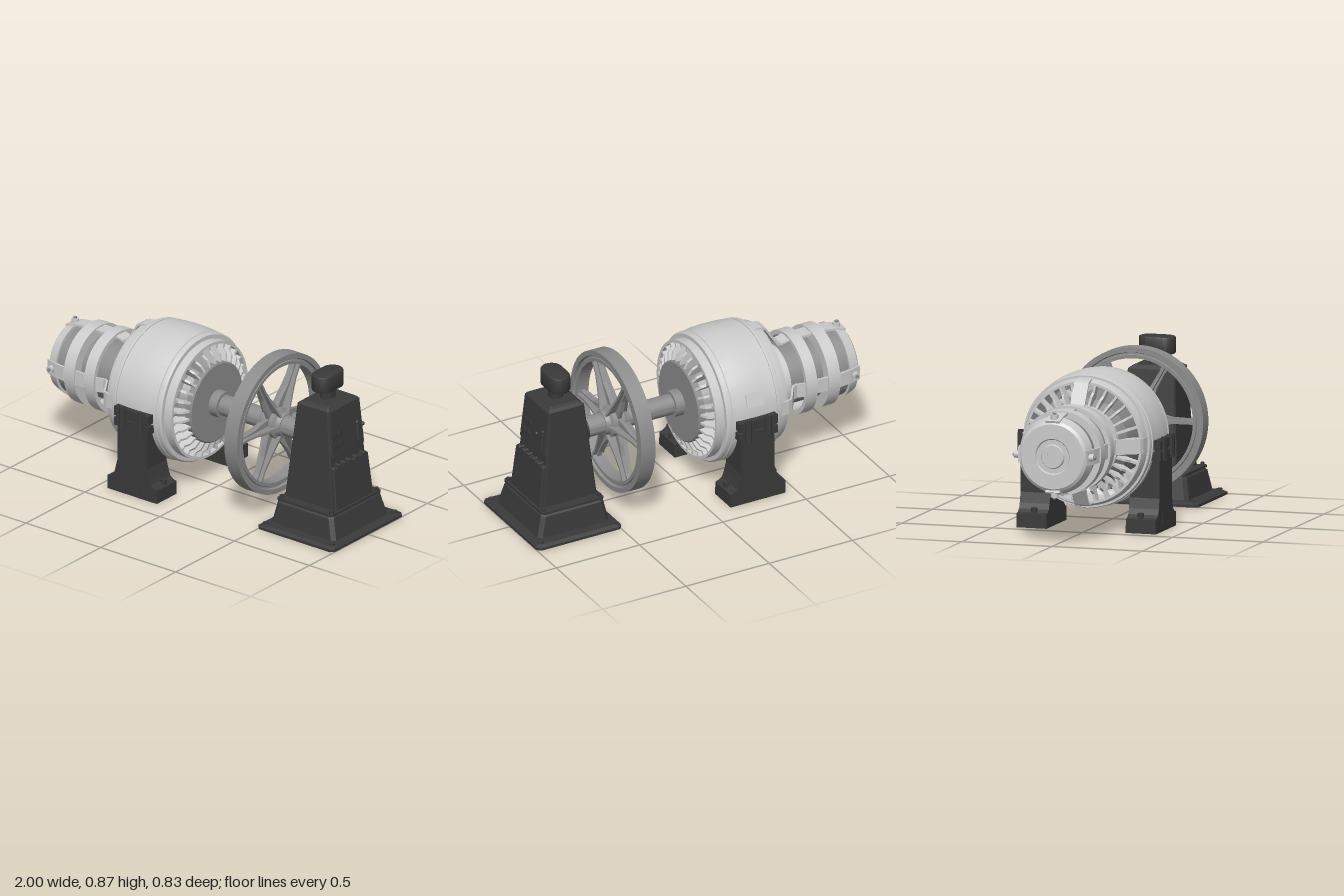
import * as THREE from 'three';
import { toCreasedNormals } from 'three/addons/utils/BufferGeometryUtils.js';

const mat = (color) => new THREE.MeshStandardMaterial({ color, side: THREE.DoubleSide });
const light = mat(0xcccccc), mid = mat(0x8c8c8c), dark = mat(0x3a3a3a);
const AXIS = 0.475; // height of the shaft line

function add(parent, name, geometry, material, x = 0, y = 0, z = 0) {
  const mesh = new THREE.Mesh(geometry, material);
  mesh.name = name;
  mesh.position.set(x, y, z);
  parent.add(mesh);
  return mesh;
}

// Solid of revolution about the x axis from [x, radius] points
function turned(points, segments = 72) {
  const g = new THREE.LatheGeometry(points.map(([x, r]) => new THREE.Vector2(r, x)), segments);
  return toCreasedNormals(g.rotateZ(-Math.PI / 2), 0.4);
}
const drum = (x0, x1, r) => turned([[x0, 0], [x0, r], [x1, r], [x1, 0]]);
const ring = (x0, x1, r, inner) => turned([[x0, inner], [x0, r], [x1, r], [x1, inner], [x0, inner]]);
const box = (w, h, d) => new THREE.BoxGeometry(w, h, d);
const rod = (r, h, n = 16) => new THREE.CylinderGeometry(r, r, h, n);

// Flat outline given thickness, centred on z = 0
function plate(points, depth) {
  const shape = new THREE.Shape(points.map(([x, y]) => new THREE.Vector2(x, y)));
  return new THREE.ExtrudeGeometry(shape, { depth, bevelEnabled: false }).translate(0, 0, -depth / 2);
}

// Copies of one geometry spaced around the x axis
function around(parent, name, count, geometry, material) {
  const group = new THREE.Group();
  group.name = name;
  for (let i = 0; i < count; i++) add(group, name, geometry, material).rotation.x = (i / count) * Math.PI * 2;
  parent.add(group);
}

// Casting skinned over chamfered rectangles [y, x0, x1, half depth, chamfer]
function casting(sections) {
  const rings = sections.map(([y, x0, x1, h, c]) => [
    [x1, -h + c], [x1, h - c], [x1 - c, h], [x0 + c, h],
    [x0, h - c], [x0, -h + c], [x0 + c, -h], [x1 - c, -h]].map(([x, z]) => [x, y, z]));
  const pos = [];
  for (let i = 0; i < rings.length - 1; i++) {
    for (let j = 0; j < 8; j++) {
      const k = (j + 1) % 8;
      const a = rings[i][j], b = rings[i + 1][j], c = rings[i + 1][k], d = rings[i][k];
      pos.push(...a, ...b, ...c, ...a, ...c, ...d);
    }
  }
  const g = new THREE.BufferGeometry();
  g.setAttribute('position', new THREE.Float32BufferAttribute(pos, 3));
  g.computeVertexNormals();
  return g;
}

function createMotor() {
  const motor = new THREE.Group();
  motor.name = 'motor';
  motor.position.y = AXIS;

  // Hollow barrel with stepped rims
  add(motor, 'barrel', turned([
    [-0.49, 0.312], [-0.49, 0.325], [-0.45, 0.338], [-0.438, 0.338], [-0.438, 0.35], [-0.425, 0.354],
    [-0.41, 0.354], [-0.41, 0.349], [-0.402, 0.349], [-0.4, 0.356], [-0.34, 0.361], [-0.27, 0.363],
    [-0.2, 0.36], [-0.145, 0.353], [-0.143, 0.348], [-0.135, 0.348], [-0.135, 0.354], [-0.118, 0.352],
    [-0.11, 0.345], [-0.11, 0.323], [-0.06, 0.323], [-0.06, 0.308], [-0.11, 0.308], [-0.13, 0.33],
    [-0.41, 0.33], [-0.49, 0.312]], 96), light);
  add(motor, 'armature', turned([[-0.5, 0], [-0.5, 0.2], [-0.45, 0.235], [-0.09, 0.235],
    [-0.04, 0.21], [-0.04, 0]]), mid);
  add(motor, 'endDisc', turned([[-0.05, 0], [-0.05, 0.222], [-0.018, 0.222], [-0.012, 0.215], [-0.012, 0]]), mid);
  around(motor, 'rightFin', 30, plate([[-0.11, 0.315], [-0.06, 0.315], [-0.06, 0.285],
    [-0.035, 0.265], [-0.016, 0.21], [-0.1, 0.21]], 0.013), light);
  around(motor, 'leftFin', 30, plate([[-0.44, 0.322], [-0.488, 0.317], [-0.492, 0.275],
    [-0.515, 0.255], [-0.53, 0.19], [-0.45, 0.19]], 0.013), light);
  add(motor, 'leftFinRing', ring(-0.535, -0.505, 0.205, 0.1), light);

  // Commutator with bands and end cap
  add(motor, 'commutator', drum(-0.95, -0.5, 0.165), mid);
  add(motor, 'commutatorCollar', drum(-0.595, -0.53, 0.172), light);
  add(motor, 'commutatorShoulder', drum(-0.935, -0.86, 0.19), mid);
  add(motor, 'innerBand', ring(-0.72, -0.655, 0.23, 0.205), light);
  add(motor, 'outerBand', ring(-0.86, -0.79, 0.225, 0.16), light);
  add(motor, 'endCap', turned([[-0.992, 0], [-0.992, 0.03], [-0.998, 0.03], [-0.998, 0.06], [-0.988, 0.065],
    [-0.988, 0.09], [-0.996, 0.095], [-0.996, 0.172], [-0.985, 0.188], [-0.93, 0.205], [-0.93, 0]]), light);

  // Brush straps running from the cap up to the barrel rim
  const path = [[-0.995, 0.19], [-0.93, 0.208], [-0.87, 0.216], [-0.655, 0.216], [-0.61, 0.205],
    [-0.585, 0.215], [-0.515, 0.325], [-0.49, 0.335], [-0.43, 0.34]];
  const underside = path.map(([x, r]) => [x + 0.005, r - 0.012]).reverse();
  around(motor, 'strap', 4, plate([...path, ...underside], 0.08), light);
  around(motor, 'strapBolt', 4, rod(0.02, 0.03).translate(-0.96, 0.205, 0), light);
  around(motor, 'strapBoltHead', 4, rod(0.01, 0.03, 6).translate(-0.96, 0.214, 0), mid);

  // Rating plate on the back of the barrel
  const label = new THREE.Group();
  label.name = 'ratingPlate';
  label.rotation.x = 0.31;
  add(label, 'plate', box(0.1, 0.07, 0.012), light, -0.277, 0, -0.36);
  motor.add(label);
  return motor;
}

function createLeg() {
  const leg = new THREE.Group();
  leg.name = 'motorLeg';
  // Saddle post whose inner edge follows the barrel
  const outline = [[0.22, 0.03], [0.385, 0.03], [0.385, 0.47]];
  for (let i = 0; i <= 12; i++) {
    const a = -0.014 - (i / 12) * 0.89;
    outline.push([0.356 * Math.cos(a), AXIS + 0.356 * Math.sin(a)]);
  }
  add(leg, 'post', plate(outline, 0.2).rotateY(-Math.PI / 2), dark);
  // Flared foot
  const half = [[0.165, 0], [0.165, 0.075], [0.145, 0.08], [0.125, 0.095], [0.114, 0.125], [0.1, 0.3]];
  const foot = [...half, ...half.map(([x, y]) => [-x, y]).reverse()];
  add(leg, 'foot', plate(foot.map(([x, y]) => [x, Math.min(y, 0.18)]), 0.165), dark, 0, 0, 0.3025);
  add(leg, 'footPad', box(0.33, 0.04, 0.167), dark, 0, 0.02, 0.3025);
  for (const s of [-1, 1]) {
    add(leg, 'footBolt', rod(0.018, 0.04, 8), dark, s * 0.14, 0.085, 0.295);
    add(leg, 'footRib', box(0.016, 0.1, 0.02), dark, s * 0.05, 0.05, 0.377);
    add(leg, 'clampLug', box(0.05, 0.1, 0.03), dark, s * 0.06, 0.445, 0.392);
    add(leg, 'clampBolt', rod(0.015, 0.125, 8), dark, s * 0.06, 0.442, 0.398);
  }
  add(leg, 'clampLower', box(0.23, 0.045, 0.05), dark, 0, 0.405, 0.37);
  add(leg, 'clampUpper', box(0.23, 0.05, 0.05), dark, 0, 0.465, 0.37);
  return leg;
}

function createFlywheel() {
  const wheel = new THREE.Group();
  wheel.name = 'flywheel';
  wheel.position.set(0.383, AXIS, 0);
  const face = [[0.035, 0.325], [0.035, 0.343], [0.028, 0.346], [0.028, 0.354], [0.043, 0.358], [0.043, 0.385]];
  add(wheel, 'rim', turned([...face.map(([x, r]) => [-x, r]), ...face.reverse(), [-0.035, 0.325]], 96), mid);
  add(wheel, 'hub', turned([[-0.07, 0], [-0.07, 0.062], [-0.045, 0.068], [-0.035, 0.085],
    [0.035, 0.085], [0.045, 0.068], [0.07, 0.062], [0.07, 0]]), mid);
  // Cross-section spokes: a web in the wheel plane and a rib across it
  const taper = (rows) => [...rows, ...rows.map(([w, r]) => [-w, r]).reverse()];
  const web = plate(taper([[0.045, 0.05], [0.036, 0.13], [0.018, 0.2], [0.015, 0.29], [0.022, 0.335]]), 0.022);
  const spokes = new THREE.Group();
  spokes.name = 'spokes';
  spokes.rotation.x = Math.PI / 2;
  around(spokes, 'spokeWeb', 6, web.rotateY(Math.PI / 2), mid);
  around(spokes, 'spokeRib', 6, plate(taper([[0.066, 0.05], [0.056, 0.1], [0.042, 0.18],
    [0.032, 0.26], [0.034, 0.335]]), 0.012), mid);
  wheel.add(spokes);
  return wheel;
}

function createPedestal() {
  const stand = new THREE.Group();
  stand.name = 'pedestal';
  // Hollow stepped base, open underneath
  add(stand, 'base', casting([
    [0.13, 0.74, 0.75, 0.005, 0], [0.13, 0.63, 0.86, 0.13, 0.01], [0, 0.55, 0.94, 0.235, 0.015],
    [0, 0.49, 1.0, 0.303, 0.02], [0.014, 0.49, 1.0, 0.303, 0.02], [0.026, 0.51, 0.98, 0.285, 0.02],
    [0.028, 0.53, 0.955, 0.236, 0.02], [0.14, 0.552, 0.925, 0.217, 0.02], [0.149, 0.56, 0.915, 0.208, 0.02],
    [0.15, 0.552, 0.922, 0.212, 0.01], [0.163, 0.552, 0.922, 0.212, 0.01], [0.163, 0.73, 0.74, 0.005, 0]]), dark);
  add(stand, 'column', casting([
    [0.16, 0.565, 0.885, 0.16, 0.008], [0.7, 0.625, 0.835, 0.131, 0.008],
    [0.712, 0.64, 0.82, 0.115, 0.008], [0.72, 0.65, 0.81, 0.1, 0.008], [0.72, 0.73, 0.735, 0.002, 0]]), dark);
  add(stand, 'lowerPanel', casting([[0.16, 0.8, 0.91, 0.158, 0.004], [0.39, 0.8, 0.885, 0.145, 0.004],
    [0.396, 0.8, 0.875, 0.142, 0.004], [0.396, 0.81, 0.815, 0.002, 0]]), dark);
  add(stand, 'upperPanel', casting([[0.452, 0.8, 0.865, 0.136, 0.003], [0.452, 0.8, 0.867, 0.136, 0.003],
    [0.7, 0.8, 0.842, 0.126, 0.003], [0.7, 0.81, 0.815, 0.002, 0]]), dark);
  for (const x of [0.525, 0.965]) for (const z of [-0.265, 0.265])
    add(stand, 'anchorBolt', rod(0.016, 0.03, 6), dark, x, 0.018, z);
  for (const x of [0.57, 0.905]) for (const z of [-0.19, 0.19])
    add(stand, 'columnBolt', rod(0.011, 0.02, 6), dark, x, 0.167, z);

  // Controls on the outer face
  const alongX = Math.PI / 2;
  for (const z of [0.1, 0.055, 0.01, -0.045, -0.105])
    add(stand, 'knob', rod(0.01, 0.05), dark, 0.87, 0.4, z).rotation.z = alongX;
  for (const [y, z] of [[0.56, 0.1], [0.56, 0.055], [0.5, 0.1], [0.5, 0.055]])
    add(stand, 'dial', rod(0.021, 0.014, 24), dark, 0.857 - (y - 0.5) * 0.1, y, z).rotation.z = alongX;
  add(stand, 'leverSlot', new THREE.CapsuleGeometry(0.013, 0.1, 4, 12), dark, 0.855, 0.525, -0.09).rotation.z = 0.1;
  add(stand, 'lever', rod(0.006, 0.06), dark, 0.872, 0.555, -0.09).rotation.z = -0.7;
  add(stand, 'leverGrip', new THREE.SphereGeometry(0.011, 12, 8), dark, 0.89, 0.578, -0.09);

  // Neck and rounded head on top
  const oblong = (r, h, height, bevel) => {
    const s = new THREE.Shape();
    s.absarc(0, h - r, r, 0, Math.PI, false);
    s.absarc(0, r - h, r, Math.PI, Math.PI * 2, false);
    const g = new THREE.ExtrudeGeometry(s, { depth: height, bevelEnabled: bevel > 0, bevelSize: bevel,
      bevelThickness: bevel, bevelSegments: 2, curveSegments: 16 });
    return toCreasedNormals(g.rotateX(-Math.PI / 2), 0.5);
  };
  add(stand, 'neck', oblong(0.036, 0.043, 0.08, 0), dark, 0.728, 0.71);
  add(stand, 'head', oblong(0.05, 0.09, 0.076, 0.009), dark, 0.728, 0.781);
  return stand;
}

export function createModel() {
  const model = new THREE.Group();
  model.name = 'motorGenerator';
  model.add(createMotor(), createFlywheel(), createPedestal());
  for (const turn of [0, Math.PI]) {
    const leg = createLeg();
    leg.position.x = -0.275;
    leg.rotation.y = turn;
    model.add(leg);
  }
  // Shaft line from the motor to the pedestal
  add(model, 'shaft', drum(-0.02, 0.62, 0.056), mid, 0, AXIS);
  add(model, 'shaftFlange', drum(-0.015, 0.04, 0.072), mid, 0, AXIS);
  add(model, 'bearing', drum(0.562, 0.64, 0.075), dark, 0, AXIS);
  return model;
}
